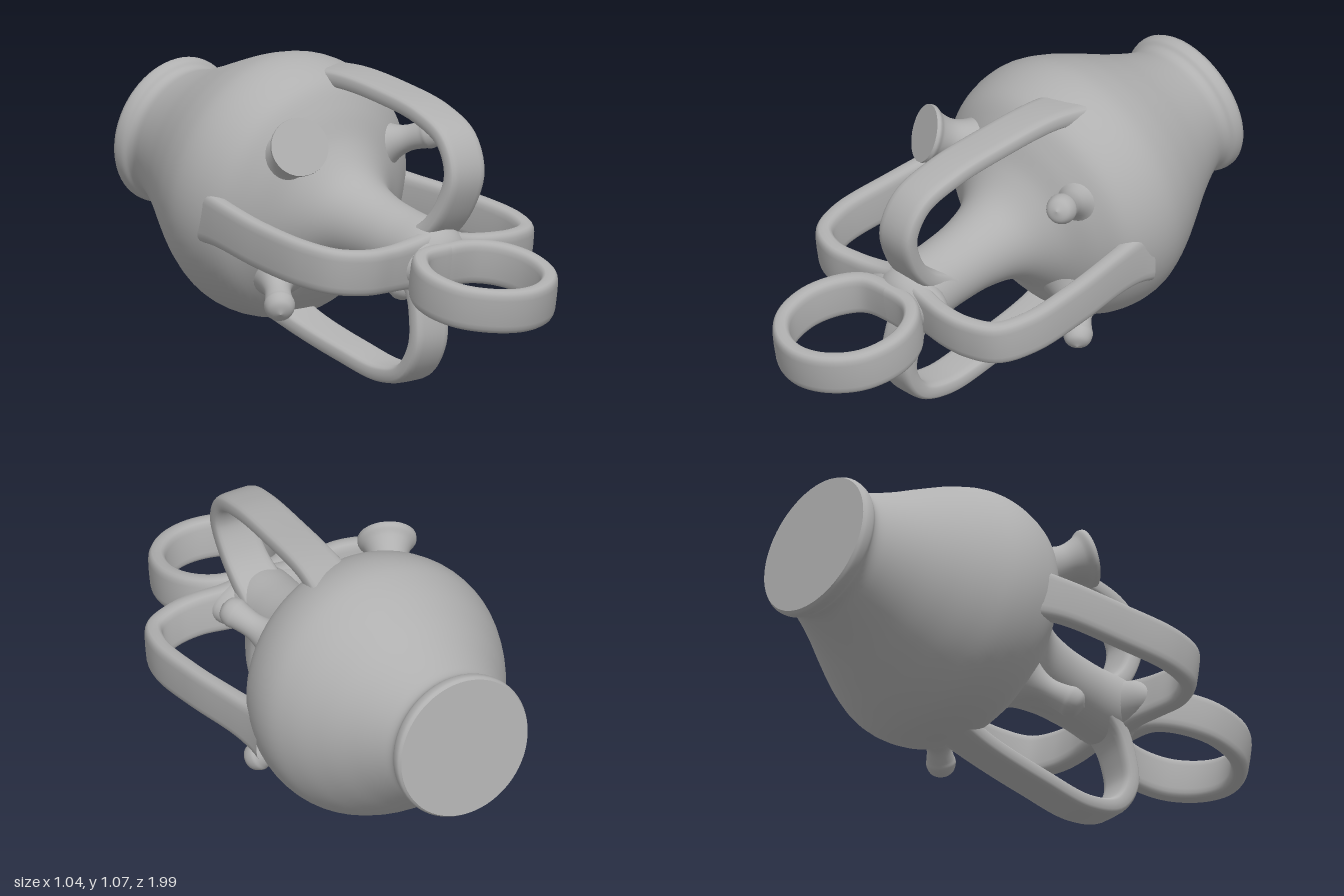
import * as THREE from 'three';

const V = (x, y, z) => new THREE.Vector3(x, y, z);
const UP = V(0, 1, 0);

// Smooth lathe from [radius, height] points, open or closed at radius 0
function lathe(profile, divisions, sides) {
  const curve = new THREE.CatmullRomCurve3(profile.map(([r, h]) => V(r, h, 0)), false, 'centripetal');
  const pts = curve.getPoints(divisions).map(p => new THREE.Vector2(Math.max(p.x, 0), p.y));
  return new THREE.LatheGeometry(pts, sides);
}

// Flat band with rounded edges swept along a path; the ends flare where they join
function strap(path, across, width, thick, closed = false, flare = 0.4) {
  const curve = new THREE.CatmullRomCurve3(path.map(p => V(...p)), closed, 'centripetal');
  const steps = 64, sides = 20, pos = [], idx = [];
  for (let i = 0; i <= steps; i++) {
    const u = i / steps;
    const p = curve.getPointAt(u), t = curve.getTangentAt(u);
    const w = across.clone().addScaledVector(t, -across.dot(t)).normalize();
    const n = t.clone().cross(w);
    const end = closed ? 0 : Math.pow(Math.abs(2 * u - 1), 8);
    const k = 1 + flare * end;
    for (let j = 0; j < sides; j++) {
      const a = j / sides * Math.PI * 2, c = Math.cos(a), s = Math.sin(a);
      const q = p.clone()
        .addScaledVector(w, Math.sign(c) * Math.pow(Math.abs(c), 0.45) * width / 2 * k)
        .addScaledVector(n, Math.sign(s) * Math.pow(Math.abs(s), 0.6) * thick / 2 * k);
      pos.push(q.x, q.y, q.z);
    }
  }
  for (let i = 0; i < steps; i++) for (let j = 0; j < sides; j++) {
    const j2 = (j + 1) % sides;
    const a = i * sides + j, b = i * sides + j2, c = a + sides, d = b + sides;
    idx.push(a, b, c, b, d, c);
  }
  const g = new THREE.BufferGeometry();
  g.setAttribute('position', new THREE.Float32BufferAttribute(pos, 3));
  g.setIndex(idx);
  g.computeVertexNormals();
  return g;
}

export function createModel() {
  const group = new THREE.Group();
  const clay = new THREE.MeshStandardMaterial({ color: 0xb0b0b0 });
  clay.name = 'grey clay';
  const add = (name, geometry, parent = group) => {
    const m = new THREE.Mesh(geometry, clay);
    m.name = name;
    parent.add(m);
    return m;
  };

  // Jar lying on its side, axis tilted slightly up towards the mouth at the back
  const jar = new THREE.Group();
  jar.name = 'jar';
  jar.position.set(-0.02, 0.595, -0.3);
  jar.quaternion.setFromUnitVectors(UP, V(-0.045, 0.165, -1).normalize());
  group.add(jar);
  add('body', lathe([
    [0, -0.84], [0.08, -0.83], [0.125, -0.77], [0.125, -0.6], [0.135, -0.45], [0.17, -0.33],
    [0.25, -0.24], [0.36, -0.17], [0.44, -0.1], [0.475, 0], [0.475, 0.1], [0.44, 0.2],
    [0.38, 0.31], [0.315, 0.42], [0.265, 0.52], [0.247, 0.57], [0.25, 0.595], [0.264, 0.615],
    [0.267, 0.645], [0.258, 0.66],
  ], 100, 64), jar);
  const cap = add('mouthCap', new THREE.CircleGeometry(0.259, 64), jar);
  cap.position.y = 0.66;
  cap.rotation.x = -Math.PI / 2;

  // Four looping strap handles that meet at the central stem
  add('topHandle', strap([
    [0.09, 0.99, -0.32], [0.09, 1.015, -0.12], [0.09, 1.0, 0.12], [0.085, 0.965, 0.34], [0.075, 0.9, 0.49],
    [0.065, 0.79, 0.545], [0.05, 0.67, 0.51], [0.035, 0.58, 0.44], [0.02, 0.52, 0.34],
  ], V(1, 0, 0), 0.16, 0.066), group);
  add('bottomHandle', strap([
    [-0.05, 0.2, -0.38], [-0.045, 0.135, -0.2], [-0.04, 0.075, 0.05], [-0.035, 0.04, 0.26], [-0.035, 0.07, 0.39],
    [-0.03, 0.17, 0.455], [-0.02, 0.28, 0.45], [-0.01, 0.37, 0.42], [0, 0.45, 0.35],
  ], V(1, 0, 0), 0.15, 0.066), group);
  add('rightHandle', strap([
    [-0.43, 0.57, -0.32], [-0.465, 0.56, -0.15], [-0.485, 0.53, 0.08], [-0.48, 0.505, 0.32], [-0.43, 0.49, 0.44],
    [-0.33, 0.48, 0.485], [-0.22, 0.475, 0.475], [-0.12, 0.475, 0.46], [-0.02, 0.475, 0.45],
  ], V(0, 1, 0.15), 0.165, 0.066), group);
  add('leftHandle', strap([
    [0.4, 0.52, -0.32], [0.435, 0.515, -0.15], [0.475, 0.495, 0.08], [0.485, 0.47, 0.3], [0.44, 0.455, 0.42],
    [0.34, 0.455, 0.47], [0.24, 0.46, 0.48], [0.13, 0.465, 0.465], [0.02, 0.475, 0.45],
  ], V(0, 1, 0.15), 0.16, 0.066), group);

  // Egg-shaped ring at the front
  add('frontRing', strap([
    [0, 0.467, 0.52], [0.12, 0.464, 0.535], [0.195, 0.452, 0.6], [0.23, 0.43, 0.71], [0.2, 0.405, 0.84], [0.11, 0.39, 0.93],
    [0, 0.384, 0.96],
    [-0.11, 0.39, 0.93], [-0.2, 0.405, 0.84], [-0.225, 0.43, 0.71], [-0.185, 0.452, 0.6], [-0.12, 0.464, 0.535],
  ], V(0, 1, 0.16), 0.158, 0.064, true), group);

  // Blended joint where the handles and the ring meet
  const joint = add('joint', new THREE.SphereGeometry(1, 32, 20));
  joint.position.set(0, 0.475, 0.45);
  joint.scale.set(0.2, 0.1, 0.085);

  // Turned pegs on the front of the body, each placed from its base towards its tip
  const peg = (name, base, tip, profile) => {
    const a = V(...base), dir = V(...tip).sub(a);
    const len = dir.length();
    const m = add(name, lathe(profile(len), 36, 28));
    m.position.copy(a);
    m.quaternion.setFromUnitVectors(UP, dir.normalize());
    return m;
  };
  const knob = r => L => [
    [0.16, -0.03], [0.1, 0.035], [0.065, 0.08], [r * 0.85, L * 0.62], [r * 0.92, L - r * 0.4],
    [r, L], [r * 0.75, L + r * 0.66], [0, L + r],
  ];
  peg('upperLeftKnob', [0.24, 0.735, -0.17], [0.34, 0.8, 0.02], knob(0.055));
  peg('lowerLeftKnob', [0.2, 0.335, -0.2], [0.305, 0.235, -0.09], knob(0.053));
  peg('lowerRightKnob', [-0.21, 0.36, -0.17], [-0.32, 0.27, -0.01], knob(0.055));

  // Flared spout with a flat end
  const spout = peg('spout', [-0.21, 0.775, -0.12], [-0.305, 0.858, 0.085], L => [
    [0.16, -0.02], [0.1, 0.04], [0.073, 0.1], [0.068, L * 0.62], [0.085, L - 0.04], [0.104, L - 0.015], [0.104, L],
  ]);
  const face = add('spoutFace', new THREE.CircleGeometry(0.104, 28), spout);
  face.position.y = V(-0.095, 0.083, 0.205).length();
  face.rotation.x = -Math.PI / 2;

  return group;
}
